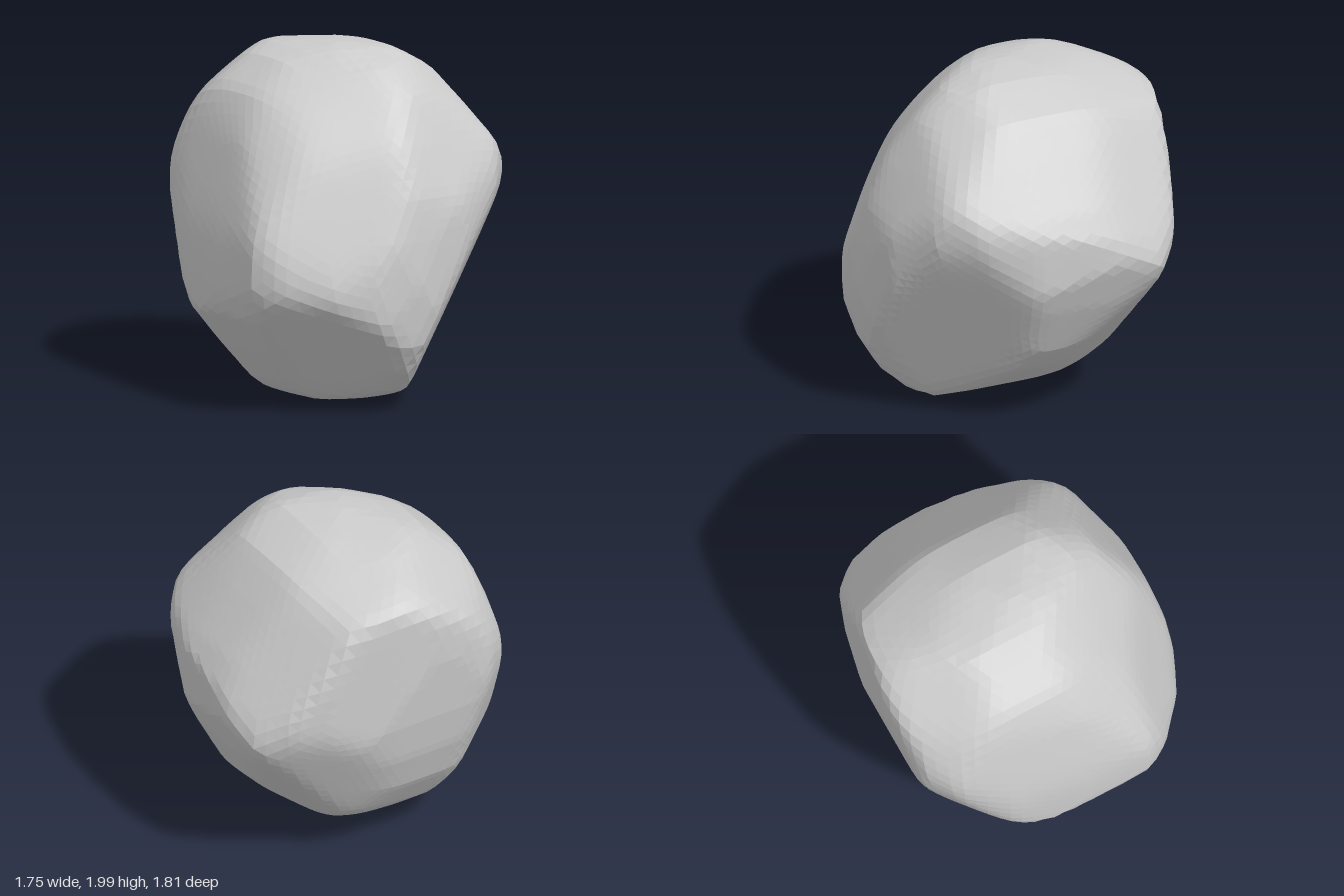
import * as THREE from 'three';

// Outlines of the boulder about its middle (0, 1, 0): [axis u, axis v, points]
const outlines = [
  ['x', 'y', [[0, 1], [-0.5, 0.95], [-0.7, 0.88], [-0.82, 0.79], [-0.88, 0.66], [-0.88, 0.5], [-0.82, 0], [-0.77, -0.25],
    [-0.68, -0.5], [-0.5, -0.75], [-0.3, -0.91], [-0.1, -0.98], [0.05, -1], [0.4, -0.96], [0.6, -0.9],
    [0.75, -0.78], [0.84, -0.6], [0.88, -0.25], [0.86, 0], [0.83, 0.25], [0.75, 0.52], [0.6, 0.77], [0.4, 0.92], [0.2, 0.98]]],
  ['z', 'y', [[0.05, 1], [0.25, 0.97], [0.4, 0.92], [0.6, 0.76], [0.75, 0.5], [0.86, 0.2], [0.92, -0.05], [0.915, -0.25],
    [0.86, -0.45], [0.7, -0.67], [0.5, -0.9], [0.4, -0.96], [0.2, -1], [0, -0.96], [-0.2, -0.87], [-0.5, -0.66],
    [-0.65, -0.5], [-0.8, -0.2], [-0.91, 0.08], [-0.9, 0.2], [-0.8, 0.38], [-0.6, 0.65], [-0.45, 0.84], [-0.2, 0.97]]],
  ['x', 'z', [[-0.35, -0.91], [-0.55, -0.87], [-0.7, -0.71], [-0.77, -0.5], [-0.835, -0.1], [-0.87, 0.15],
    [-0.86, 0.35], [-0.82, 0.55], [-0.7, 0.7], [-0.4, 0.82], [0, 0.88], [0.4, 0.91], [0.55, 0.83], [0.75, 0.6],
    [0.85, 0.35], [0.88, 0.1], [0.83, -0.25], [0.7, -0.56], [0.5, -0.75], [0.2, -0.85]]],
];

// Broken faces: outward normal and distance from the middle
const facets = [
  [-0.115, 0.24, 0.96, 0.83],  // front
  [0.8, 0.34, 0.5, 0.81],      // front, +x side
  [0.4, 0.5, 0.77, 0.87],      // strip between the two
  [0.65, 0.6, 0.47, 0.84],     // above the front, +x side
  [-0.75, -0.3, 0.6, 0.9],     // front edge, -x side
  [-0.5, -0.6, 0.62, 0.95],    // lower front, -x side
  [0.55, -0.62, 0.56, 0.96],   // lower front, +x side
  [0.61, -0.4, -0.675, 0.74],  // lower back, +x side
  [0.9, 0.42, -0.15, 0.86],    // upper +x side
  [0.55, 0.7, -0.45, 0.94],    // top back, +x side
  [-0.83, -0.43, -0.35, 0.81], // lower -x side
  [-0.35, -0.65, -0.67, 0.81], // underside at the back
  [-0.45, -0.85, -0.2, 0.9],   // underside, -x side
  [-0.6, 0.4, 0.7, 1.02],      // upper front, -x side
  [-0.5, 0.75, 0.45, 1.04],    // top front, -x side
  [-0.35, 0.5, -0.79, 0.91],   // upper back, -x side
  [0.2, 0.57, -0.8, 0.89],     // upper back, +x side
  [0.45, 0.75, 0.48, 0.9],     // top front, +x side
  [-0.3, 0.9, -0.3, 1],        // top
];

// Plane as normal / distance, for each edge of an outline
function outlinePlanes([u, v, pts]) {
  return pts.map((a, i) => {
    const b = pts[(i + 1) % pts.length];
    const nu = b[1] - a[1], nv = a[0] - b[0];
    const h = nu * a[0] + nv * a[1];
    const n = new THREE.Vector3();
    n[u] = nu / h;
    n[v] = nv / h;
    return n;
  });
}

// Rounded intersection of all plane groups, as a radius along direction d
function radius(d, groups, sharpness) {
  let sum = 0;
  for (const planes of groups) {
    let g = 0;
    for (const n of planes) g = Math.max(g, n.dot(d));
    sum += g ** sharpness;
  }
  return sum ** (-1 / sharpness);
}

export function createModel() {
  // The outlines act together as one group, each broken face as its own
  const groups = [
    outlines.flatMap(outlinePlanes),
    ...facets.map(([x, y, z, h]) => [new THREE.Vector3(x, y, z).normalize().divideScalar(h)]),
  ];

  // Push a sphere out to the broken faces
  const geo = new THREE.IcosahedronGeometry(1, 15);
  const pos = geo.attributes.position;
  const p = new THREE.Vector3();
  for (let i = 0; i < pos.count; i++) {
    p.fromBufferAttribute(pos, i).normalize();
    p.multiplyScalar(radius(p, groups, 40));
    pos.setXYZ(i, p.x, p.y + 1, p.z);
  }
  geo.computeVertexNormals();

  const boulder = new THREE.Mesh(geo, new THREE.MeshStandardMaterial({ color: 0xcccccc, flatShading: true }));
  boulder.name = 'boulder';
  const group = new THREE.Group();
  group.name = 'rock';
  group.add(boulder);
  return group;
}
